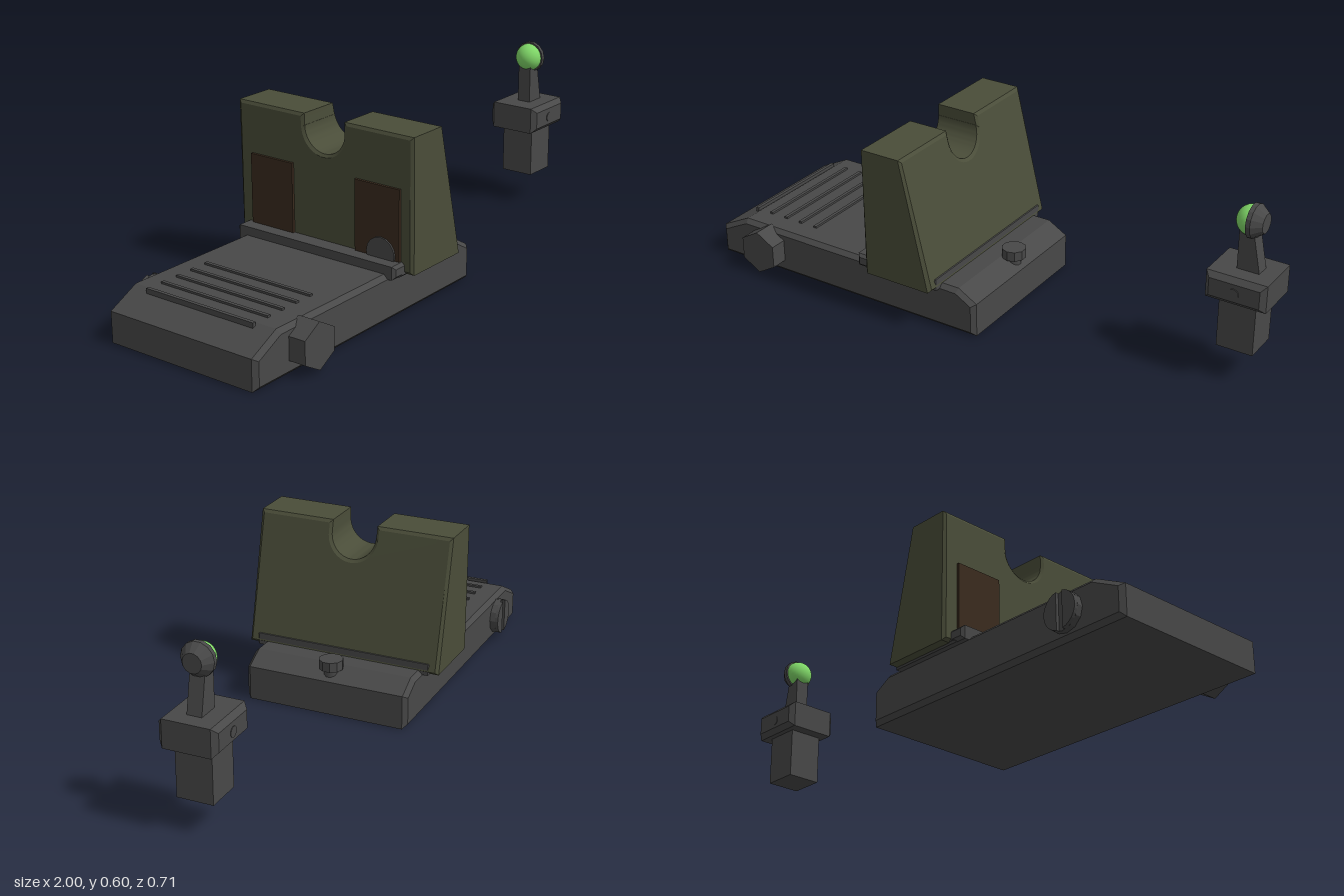
import * as THREE from 'three';
import { toCreasedNormals } from 'three/addons/utils/BufferGeometryUtils.js';

const mat = (name, color) => {
  const m = new THREE.MeshStandardMaterial({ color });
  m.name = name;
  return m;
};

// Extrusion whose bevel stays inside the outline and the depth
function bevelled(shape, depth, b) {
  return new THREE.ExtrudeGeometry(shape, {
    depth: depth - 2 * b, bevelEnabled: true, bevelThickness: b, bevelSize: b,
    bevelOffset: -b, bevelSegments: 1, curveSegments: 16,
  }).translate(0, 0, b);
}

const polygon = (pts) => new THREE.Shape(pts.map(([x, y]) => new THREE.Vector2(x, y)));

// Box from minimum and maximum corners, with optional chamfers
function block([x0, y0, z0], [x1, y1, z1], b = 0) {
  if (!b) {
    return new THREE.BoxGeometry(x1 - x0, y1 - y0, z1 - z0)
      .translate((x0 + x1) / 2, (y0 + y1) / 2, (z0 + z1) / 2);
  }
  return bevelled(polygon([[x0, y0], [x1, y0], [x1, y1], [x0, y1]]), z1 - z0, b).translate(0, 0, z0);
}

export function createModel() {
  const steel = mat('dark steel', 0x484848);
  const olive = mat('olive paint', 0x4a4d39);
  const brown = mat('dark brown', 0x3a2b1e);
  const green = mat('bright green', 0x80d868);

  const model = new THREE.Group();
  const rear = new THREE.Group();
  const front = new THREE.Group();
  rear.name = 'rearSight';
  front.name = 'frontSight';
  model.add(rear, front);
  const add = (group, name, geometry, material) => {
    const mesh = new THREE.Mesh(geometry, material);
    mesh.name = name;
    group.add(mesh);
    return mesh;
  };

  // Base plate with sloping ends
  const side = polygon([[-1, 0], [0.08, 0], [0.08, 0.12], [0.01, 0.16], [-0.89, 0.16], [-1, 0.105]]);
  add(rear, 'basePlate', bevelled(side, 0.595, 0.015).translate(0, 0, -0.3), steel);

  // Grip ribs
  [-0.905, -0.84, -0.775, -0.71, -0.645].forEach((x) => {
    add(rear, 'gripRib', block([x - 0.006, 0.13, -0.22], [x + 0.006, 0.167, 0.21]), steel);
  });

  // Notched sight body, its front face leaning back
  const outline = new THREE.Shape();
  outline.moveTo(-0.35, 0.15);
  outline.lineTo(0.355, 0.15);
  outline.lineTo(0.355, 0.603);
  outline.lineTo(0.082, 0.603);
  outline.lineTo(0.082, 0.563);
  outline.absarc(0, 0.563, 0.081, 0, Math.PI, true);
  outline.lineTo(-0.081, 0.603);
  outline.lineTo(-0.35, 0.603);
  outline.closePath();
  const body = bevelled(outline, 0.265, 0.01).rotateY(Math.PI / 2);
  const p = body.attributes.position;
  for (let i = 0; i < p.count; i++) {
    const rise = Math.max(0, (p.getY(i) - 0.165) / 0.438);
    p.setX(i, -0.32 + p.getX(i) * (1 - 0.41 * rise));
  }
  add(rear, 'sightBody', toCreasedNormals(body, 0.4), olive);

  // Foot and rear retaining bar
  add(rear, 'bodyFoot', block([-0.34, 0.145, -0.325], [-0.056, 0.186, 0.32], 0.006), steel);
  add(rear, 'retainingBar', block([-0.375, 0.145, -0.327], [-0.315, 0.19, 0.32], 0.01), steel);

  // Plates on the back of the body
  [[-0.3, -0.125], [0.13, 0.305]].forEach(([z0, z1]) => {
    add(rear, 'backPlate', block([-0.329, 0.19, z0], [-0.32, 0.43, z1]), brown);
  });
  const disc = new THREE.CylinderGeometry(0.055, 0.055, 0.008, 16).rotateZ(Math.PI / 2);
  add(rear, 'backDisc', disc.translate(-0.331, 0.205, 0.235), steel);

  // Hexagonal side nut
  const nut = new THREE.CylinderGeometry(0.078, 0.078, 0.08, 6).rotateX(Math.PI / 2);
  add(rear, 'sideNut', toCreasedNormals(nut, 0.3).translate(-0.785, 0.088, 0.316), steel);

  // Slotted screw on the other side
  const screw = new THREE.CylinderGeometry(0.063, 0.063, 0.03, 12).rotateX(Math.PI / 2);
  add(rear, 'screwHead', toCreasedNormals(screw, 0.3).translate(-0.785, 0.084, -0.305), steel);
  [0, Math.PI].forEach((turn) => {
    const half = new THREE.Shape();
    half.absarc(0, 0, 0.062, -1.38, 1.38, false);
    half.closePath();
    const cap = new THREE.ExtrudeGeometry(half, { depth: 0.012, bevelEnabled: false, curveSegments: 6 });
    add(rear, 'screwHalf', cap.rotateZ(turn).translate(-0.785, 0.084, -0.331), steel);
  });

  // Locking screw on top
  const lock = new THREE.CylinderGeometry(0.042, 0.042, 0.034, 10);
  add(rear, 'lockScrew', toCreasedNormals(lock, 0.3).translate(0.04, 0.172, -0.008), steel);
  const shank = new THREE.CylinderGeometry(0.025, 0.025, 0.04, 10);
  add(rear, 'lockShank', shank.translate(0.04, 0.14, -0.008), steel);

  // Front post: stem, collar, cross pin and tapering neck
  add(front, 'stem', block([0.835, 0.11, -0.063], [0.96, 0.3, 0.06]), steel);
  add(front, 'collar', block([0.795, 0.285, -0.1], [1, 0.38, 0.095], 0.017), steel);
  const pin = new THREE.CylinderGeometry(0.018, 0.018, 0.2, 10).rotateX(Math.PI / 2);
  add(front, 'crossPin', pin.translate(0.897, 0.33, -0.002), steel);
  const neck = polygon([[0.87, 0.37], [0.948, 0.37], [0.915, 0.53], [0.87, 0.53]]);
  add(front, 'neck', new THREE.ExtrudeGeometry(neck, { depth: 0.05, bevelEnabled: false })
    .translate(0, 0, -0.026), steel);

  // Bead: green half facing the rear, faceted housing in front
  const bead = new THREE.SphereGeometry(0.05, 24, 10, 0, Math.PI * 2, 0, Math.PI / 2).rotateZ(Math.PI / 2);
  add(front, 'bead', bead.translate(0.9, 0.545, 0), green);
  const housing = new THREE.LatheGeometry(
    [[0, 0], [0.056, 0], [0.056, 0.015], [0.032, 0.047], [0, 0.047]].map(([r, h]) => new THREE.Vector2(r, h)), 14);
  add(front, 'beadHousing', toCreasedNormals(housing.rotateZ(-Math.PI / 2), 0.3)
    .translate(0.9, 0.545, 0), steel);

  return model;
}
